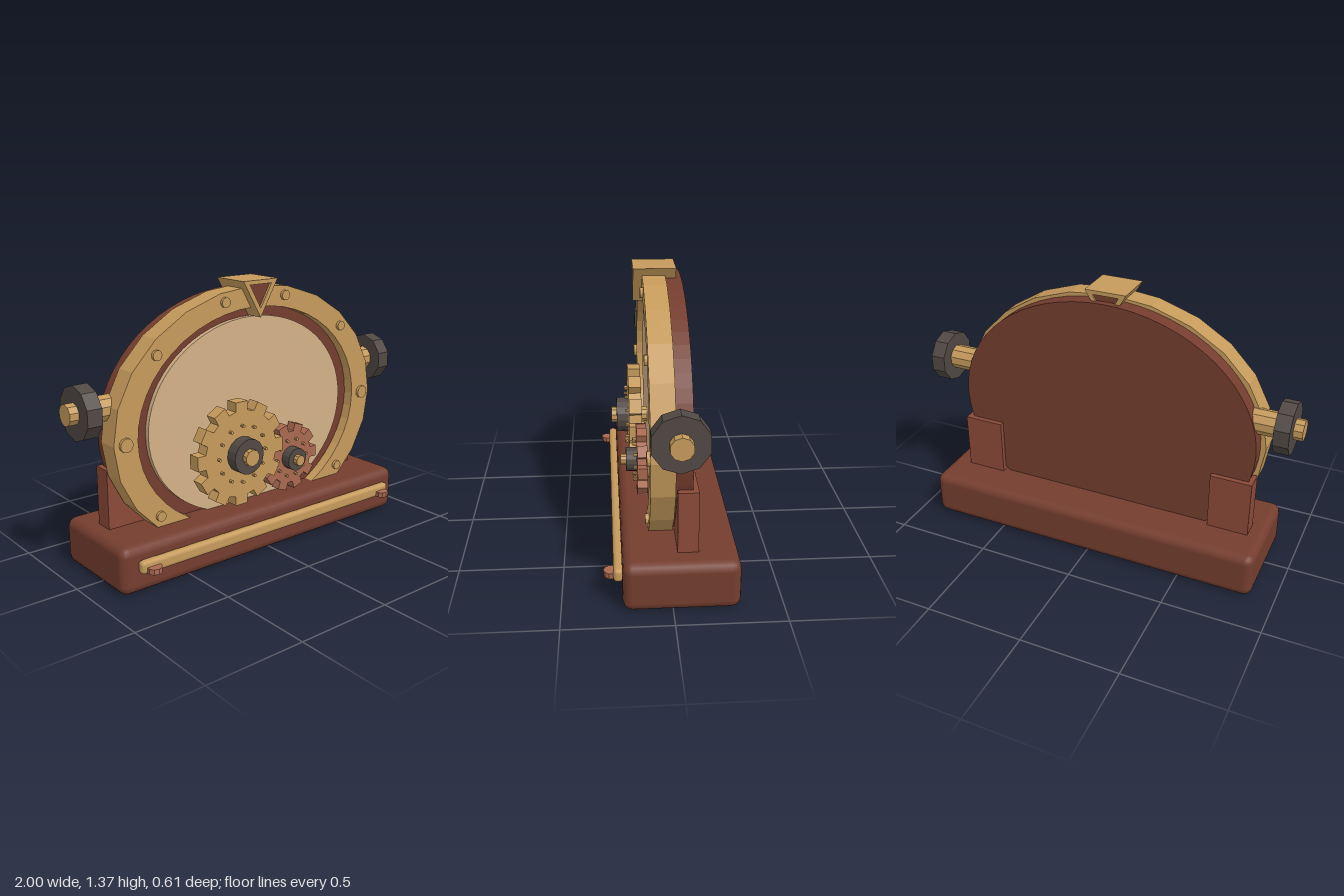
import * as THREE from 'three';
import { RoundedBoxGeometry } from 'three/addons/geometries/RoundedBoxGeometry.js';

const mat = (name, color) => Object.assign(new THREE.MeshStandardMaterial({ color }), { name });

export function createModel() {
  const root = new THREE.Group();
  root.name = 'gearClock';
  const brass = mat('brass', 0xc59a5b);
  const wood = mat('dark wood', 0x743d2e);
  const bracketWood = mat('red wood', 0x8a4a38);
  const cream = mat('cream panel', 0xd3b086);
  const copper = mat('copper', 0xa9694f);
  const iron = mat('dark iron', 0x504843);
  const CX = -0.01, CY = 0.68; // centre of the dial

  const add = (name, geo, material, x = 0, y = 0, z = 0, parent = root) => {
    const m = new THREE.Mesh(geo, material);
    m.name = name;
    m.position.set(x, y, z);
    parent.add(m);
    return m;
  };
  // closed outline of an ellipse with a chosen number of sides
  const ellipse = (rx, ry, n) => Array.from({ length: n }, (_, i) => {
    const a = (i / n) * Math.PI * 2;
    return new THREE.Vector2(rx * Math.cos(a), ry * Math.sin(a));
  });
  // flat-sided plate from z0 to z1, with an optional hole
  const plate = (outline, z0, z1, hole) => {
    const s = new THREE.Shape(outline);
    if (hole) s.holes.push(new THREE.Path(hole));
    return new THREE.ExtrudeGeometry(s, { depth: z1 - z0, bevelEnabled: false }).translate(0, 0, z0);
  };
  // faceted cylinder along z or x
  const rodZ = (r, z0, z1, n) =>
    new THREE.CylinderGeometry(r, r, z1 - z0, n).toNonIndexed().rotateX(Math.PI / 2).translate(0, 0, (z0 + z1) / 2);
  const rodX = (r, x0, x1, n) =>
    new THREE.CylinderGeometry(r, r, x1 - x0, n).rotateY(Math.PI / 2).rotateZ(-Math.PI / 2).translate((x0 + x1) / 2, 0, 0);
  const flat = (geo) => {
    const g = geo.index ? geo.toNonIndexed() : geo;
    g.computeVertexNormals();
    return g;
  };

  // base
  add('base', new RoundedBoxGeometry(1.785, 0.235, 0.53, 2, 0.045), wood, 0.0075, 0.1175, -0.04);

  // front rail with two pegs
  add('frontRail', new RoundedBoxGeometry(1.625, 0.066, 0.045, 2, 0.02), brass, 0.0075, 0.139, 0.2425);
  for (const s of [-1, 1])
    add('railPeg', flat(new THREE.CylinderGeometry(0.037, 0.037, 0.027, 10)), copper, 0.0075 + s * 0.752, 0.128, 0.272);

  // dial: back board, panel and outer ring
  add('backBoard', plate(ellipse(0.79, 0.635, 64), -0.094, -0.016), wood, CX, CY);
  add('dialBed', plate(ellipse(0.7, 0.56, 48), -0.016, 0.04), wood, CX, CY);
  add('dialPanel', plate(ellipse(0.615, 0.5, 64), 0.04, 0.065), cream, CX, CY);
  add('outerRing', plate(ellipse(0.818, 0.655, 24), -0.016, 0.095, ellipse(0.69, 0.55, 48)), brass, CX, CY);

  // rivets on the ring
  for (const s of [-1, 1])
    for (const [x, y, r] of [[0.187, 0.59, 0.025], [0.58, 0.39, 0.025], [0.757, 0, 0.034], [0.58, -0.39, 0.025]])
      add('ringRivet', flat(rodZ(r, 0.09, 0.11, 12)), brass, CX + s * x, CY + y);

  // rear brackets
  for (const s of [-1, 1])
    add('rearBracket', new THREE.BoxGeometry(0.21, 0.31, 0.095), bracketWood, -0.006 + s * 0.69, 0.375, -0.0725);

  // triangular pointer at the top
  const tri = (w, top, tip) => [[-w, top], [0, tip], [w, top]].map(([x, y]) => new THREE.Vector2(x, y));
  add('pointerFrame', plate(tri(0.106, 1.365, 1.183), -0.068, 0.138, tri(0.067, 1.345, 1.228)), brass, CX);
  add('pointerInset', plate(tri(0.067, 1.345, 1.228), -0.06, 0.125), wood, CX);

  // side knobs
  for (const s of [-1, 1]) {
    const knob = new THREE.Group();
    knob.name = s > 0 ? 'leftKnob' : 'rightKnob';
    knob.position.set(0, 0.835, -0.023);
    if (s < 0) knob.rotation.y = Math.PI;
    root.add(knob);
    add('knobCollar', flat(rodX(0.063, 0.74, 0.885, 10)), brass, 0, 0, 0, knob);
    add('knobGrip', flat(rodX(0.13, 0.88, 0.955, 10)), iron, 0, 0, 0, knob);
    add('knobTip', flat(rodX(0.052, 0.95, 1.0, 10)), brass, 0, 0, 0, knob);
  }

  // gears with hub, axle and a circle of pins
  const gear = (name, o) => {
    const g = new THREE.Group();
    g.name = name;
    g.position.set(o.x, o.y, 0);
    root.add(g);
    const pts = [], step = (Math.PI * 2) / o.teeth;
    for (let i = 0; i < o.teeth; i++)
      for (const [f, r] of [[-0.32, o.root], [-0.26, o.tip], [0.26, o.tip], [0.32, o.root]])
        pts.push(new THREE.Vector2(r * Math.cos((i + f) * step), r * Math.sin((i + f) * step)));
    add('gearWheel', plate(pts, o.z0, o.z1), o.material, 0, 0, 0, g);
    add('gearHub', flat(rodZ(o.hub, o.z1 - 0.01, o.hubZ, 16)), iron, 0, 0, 0, g);
    add('gearAxle', flat(rodZ(o.axle, 0.05, o.axleZ, 10)), brass, 0, 0, 0, g);
    for (let i = 0; i < o.pins; i++) {
      const a = (i / o.pins) * Math.PI * 2;
      add('gearPin', flat(rodZ(0.008, o.z1 - 0.01, o.z1 + 0.018, 6)), brass,
        o.pinR * Math.cos(a), o.pinR * Math.sin(a), 0, g);
    }
  };
  gear('largeGear', {
    x: -0.15, y: 0.525, teeth: 12, root: 0.222, tip: 0.268, z0: 0.1, z1: 0.165, material: brass,
    hub: 0.09, hubZ: 0.225, axle: 0.042, axleZ: 0.252, pins: 12, pinR: 0.145,
  });
  gear('smallGear', {
    x: 0.2, y: 0.425, teeth: 10, root: 0.14, tip: 0.18, z0: 0.085, z1: 0.135, material: copper,
    hub: 0.06, hubZ: 0.187, axle: 0.028, axleZ: 0.214, pins: 10, pinR: 0.1,
  });

  return root;
}
